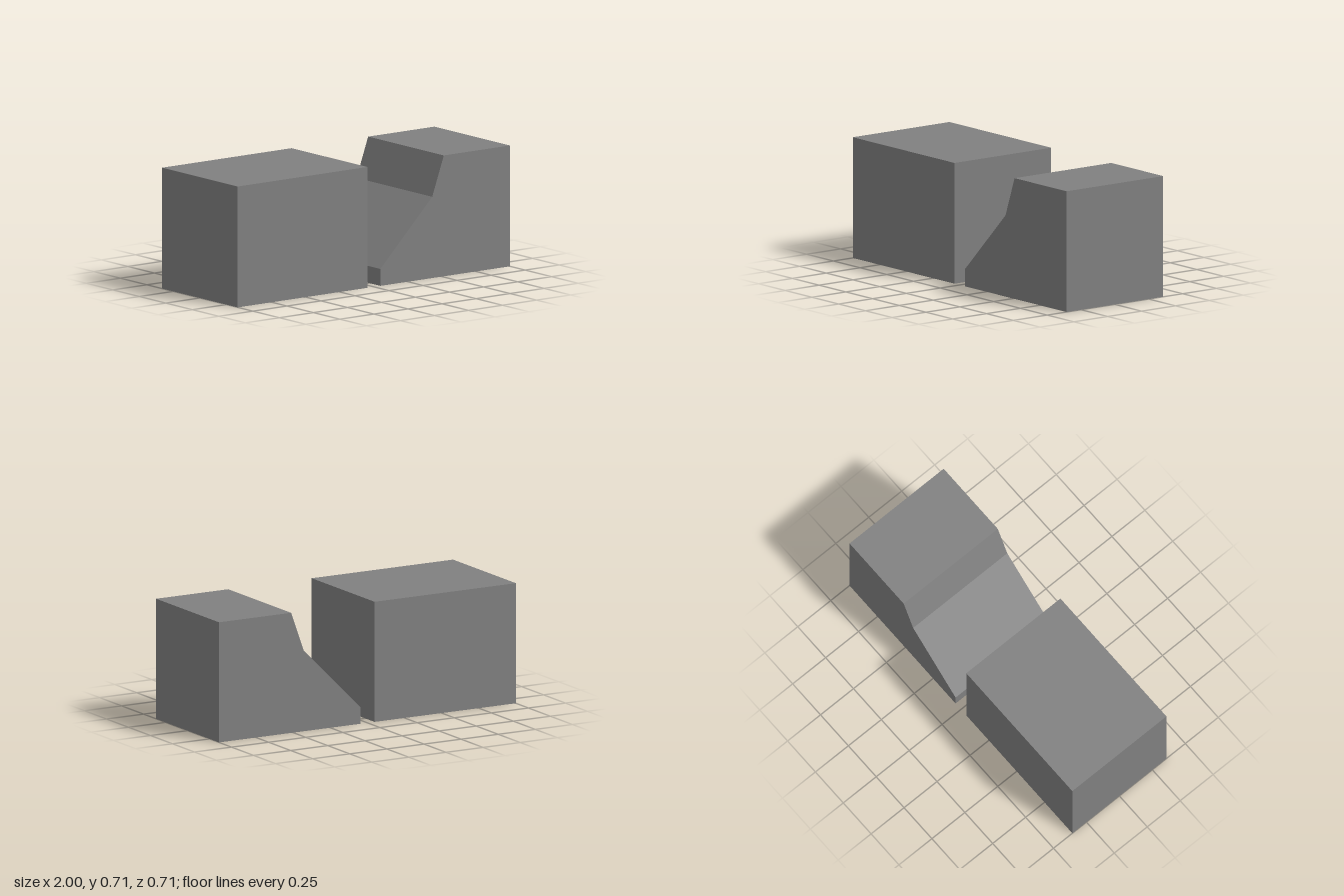
import * as THREE from 'three';

const HEIGHT = 0.714, DEPTH = 0.714, GAP = 0.048;

export function createModel() {
  const model = new THREE.Group();
  model.name = 'blockPair';

  const grey = new THREE.MeshStandardMaterial({ color: 0x808080 });
  grey.name = 'grey';

  // Plain block on the model's right
  const width = 1 - GAP;
  const plainBlock = new THREE.Mesh(new THREE.BoxGeometry(width, HEIGHT, DEPTH), grey);
  plainBlock.name = 'plainBlock';
  plainBlock.position.set(-(1 + GAP) / 2, HEIGHT / 2, 0);
  model.add(plainBlock);

  // Block with a two-step slope facing the gap, extruded from its side profile
  const profile = new THREE.Shape([
    [GAP, 0], [1, 0], [1, HEIGHT], [0.514, HEIGHT], [0.429, 0.48], [GAP, 0.1],
  ].map(([x, y]) => new THREE.Vector2(x, y)));
  const slopedGeometry = new THREE.ExtrudeGeometry(profile, { depth: DEPTH, bevelEnabled: false });
  slopedGeometry.translate(0, 0, -DEPTH / 2);
  const slopedBlock = new THREE.Mesh(slopedGeometry, grey);
  slopedBlock.name = 'slopedBlock';
  model.add(slopedBlock);

  return model;
}
